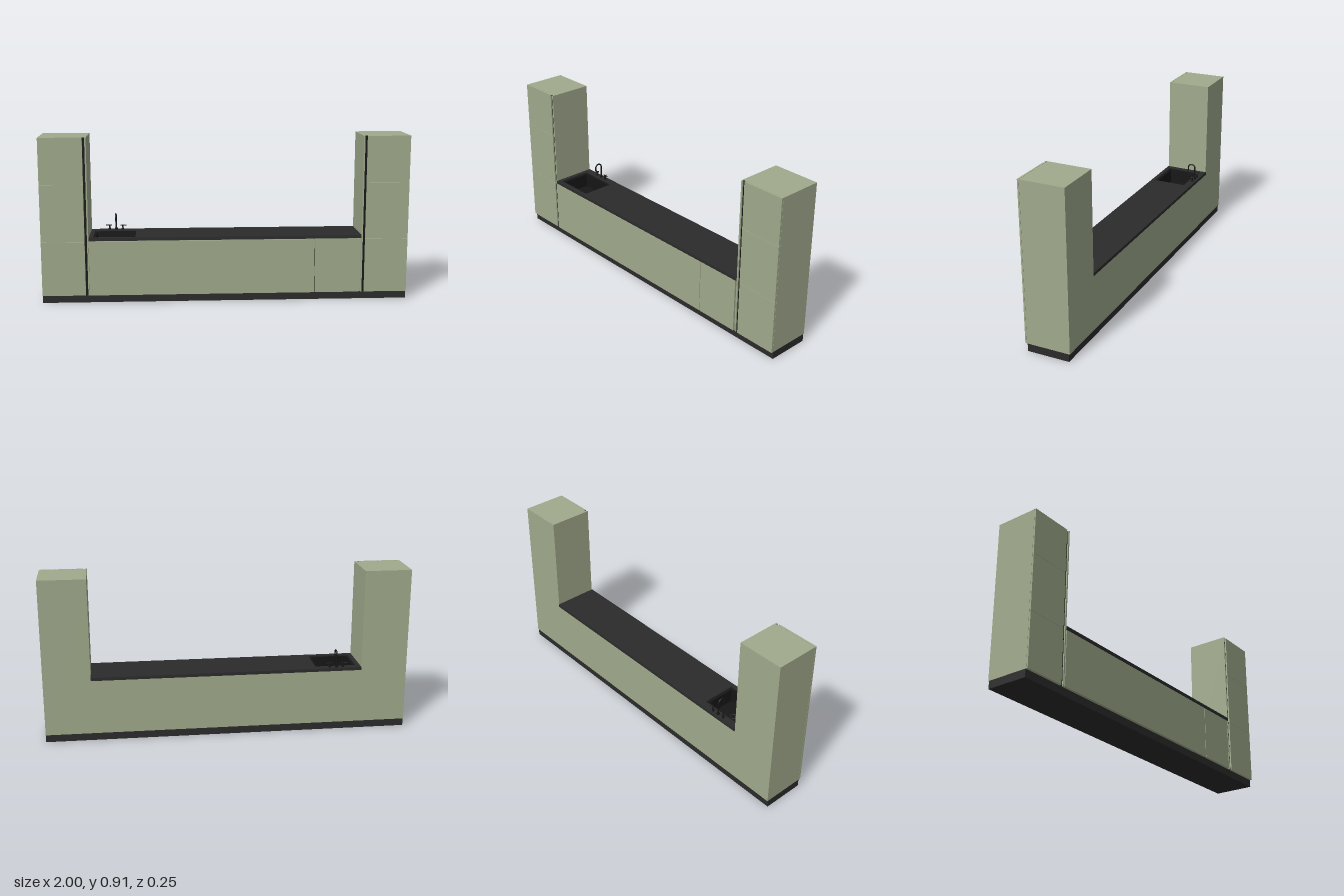
import * as THREE from 'three';

const green = new THREE.MeshStandardMaterial({ color: 0xa0aa8c });
const dark = new THREE.MeshStandardMaterial({ color: 0x2b2b2b });
const black = new THREE.MeshStandardMaterial({ color: 0x161616 });

function add(parent, name, geometry, material) {
  const mesh = new THREE.Mesh(geometry, material);
  mesh.name = name;
  parent.add(mesh);
  return mesh;
}

// Box given by its limits on each axis
function box(parent, name, [x0, x1], [y0, y1], [z0, z1], material) {
  const mesh = add(parent, name, new THREE.BoxGeometry(x1 - x0, y1 - y0, z1 - z0), material);
  mesh.position.set((x0 + x1) / 2, (y0 + y1) / 2, (z0 + z1) / 2);
  return mesh;
}

// Horizontal slab with a rectangular opening
function slab(parent, name, [x0, x1], [y0, y1], [z0, z1], hole, material) {
  const rect = (Type, a, b, c, d) => {
    const p = new Type();
    p.moveTo(a, c).lineTo(b, c).lineTo(b, d).lineTo(a, d).closePath();
    return p;
  };
  const shape = rect(THREE.Shape, x0, x1, -z1, -z0);
  shape.holes.push(rect(THREE.Path, hole[0], hole[1], -hole[3], -hole[2]));
  const g = new THREE.ExtrudeGeometry(shape, { depth: y1 - y0, bevelEnabled: false });
  g.rotateX(-Math.PI / 2).translate(0, y0, 0);
  return add(parent, name, g, material);
}

function rod(parent, name, r, h, [x, y, z], axis = 'y') {
  const mesh = add(parent, name, new THREE.CylinderGeometry(r, r, h, 16), black);
  mesh.position.set(x, y, z);
  if (axis === 'x') mesh.rotation.z = Math.PI / 2;
  if (axis === 'z') mesh.rotation.x = Math.PI / 2;
  return mesh;
}

// Tall cabinet: side = -1 or 1 mirrors it along x
function tallCabinet(side) {
  const g = new THREE.Group();
  g.name = side < 0 ? 'rightTallCabinet' : 'leftTallCabinet';
  const span = (a, b) => (side < 0 ? [-b, -a] : [a, b]);
  box(g, 'carcass', span(0.752, 1), [0.042, 0.906], [-0.125, 0.113], green);
  box(g, 'sidePanel', span(0.744, 0.752), [0.042, 0.906], [-0.125, 0.122], green);
  // Dark grip channel beside the doors
  box(g, 'gripChannel', span(0.752, 0.765), [0.042, 0.906], [0.113, 0.115], black);
  // Three stacked doors with narrow gaps
  const edges = [0.042, 0.341, 0.654, 0.906];
  for (let i = 0; i < 3; i++) {
    const top = edges[i + 1] - (i < 2 ? 0.0015 : 0);
    box(g, 'door', span(0.765, 1), [edges[i], top], [0.114, 0.123], green);
  }
  return g;
}

export function createModel() {
  const model = new THREE.Group();
  model.name = 'kitchenUnit';

  box(model, 'plinth', [-1, 1], [0, 0.042], [-0.12, 0.11], dark);
  model.add(tallCabinet(-1), tallCabinet(1));

  // Low cabinet, opened at the top for the sink
  const low = new THREE.Group();
  low.name = 'lowCabinet';
  model.add(low);
  const hole = [-0.72, -0.492, -0.086, 0.102];
  const width = [-0.744, 0.744];
  box(low, 'carcass', width, [0.042, 0.27], [-0.125, 0.113], green);
  slab(low, 'upperCarcass', width, [0.27, 0.345], [-0.125, 0.113], hole, green);
  const doors = [-0.742, 0.49, 0.739];
  for (let i = 0; i < 2; i++)
    box(low, 'door', [doors[i], doors[i + 1] - 0.003], [0.042, 0.342], [0.114, 0.124], green);
  box(low, 'doorGap', [0.486, 0.491], [0.042, 0.342], [0.113, 0.116], black);
  slab(model, 'countertop', width, [0.345, 0.362], [-0.127, 0.125], hole, dark);

  // Sink: rim step, open basin and drain
  const sink = new THREE.Group();
  sink.name = 'sink';
  model.add(sink);
  const inner = [-0.706, -0.506, -0.072, 0.09];
  slab(sink, 'rim', [-0.72, -0.492], [0.35, 0.356], [-0.086, 0.102], inner, black);
  slab(sink, 'basinWalls', [-0.72, -0.492], [0.275, 0.35], [-0.086, 0.102], inner, black);
  box(sink, 'basinFloor', [-0.72, -0.492], [0.272, 0.278], [-0.086, 0.102], black);
  rod(sink, 'drain', 0.009, 0.004, [-0.606, 0.279, 0.01]);
  const ring = add(sink, 'drainRing', new THREE.TorusGeometry(0.018, 0.002, 8, 32), dark);
  ring.position.set(-0.606, 0.279, 0.01);
  ring.rotation.x = Math.PI / 2;

  // Swan-neck tap with a cross handle on each side
  const tap = new THREE.Group();
  tap.name = 'tap';
  tap.position.set(-0.606, 0.362, -0.108);
  model.add(tap);
  const path = new THREE.CurvePath();
  const v = (y, z) => new THREE.Vector3(0, y, z);
  path.add(new THREE.LineCurve3(v(0, 0), v(0.07, 0)));
  path.add(new THREE.CubicBezierCurve3(v(0.07, 0), v(0.099, 0), v(0.099, 0.042), v(0.07, 0.042)));
  path.add(new THREE.LineCurve3(v(0.07, 0.042), v(0.055, 0.042)));
  add(tap, 'spout', new THREE.TubeGeometry(path, 48, 0.004, 10, false), black);
  rod(tap, 'spoutTip', 0.0045, 0.006, [0, 0.056, 0.042]);
  rod(tap, 'spoutBase', 0.008, 0.01, [0, 0.005, 0]);
  for (const s of [-1, 1]) {
    const x = s * 0.037;
    rod(tap, 'valveBase', 0.007, 0.008, [x, 0.004, 0]);
    rod(tap, 'valveStem', 0.004, 0.024, [x, 0.012, 0]);
    rod(tap, 'handle', 0.0028, 0.034, [x + s * 0.004, 0.024, 0], 'x');
    rod(tap, 'handleCross', 0.0028, 0.018, [x, 0.024, 0], 'z');
  }
  return model;
}
